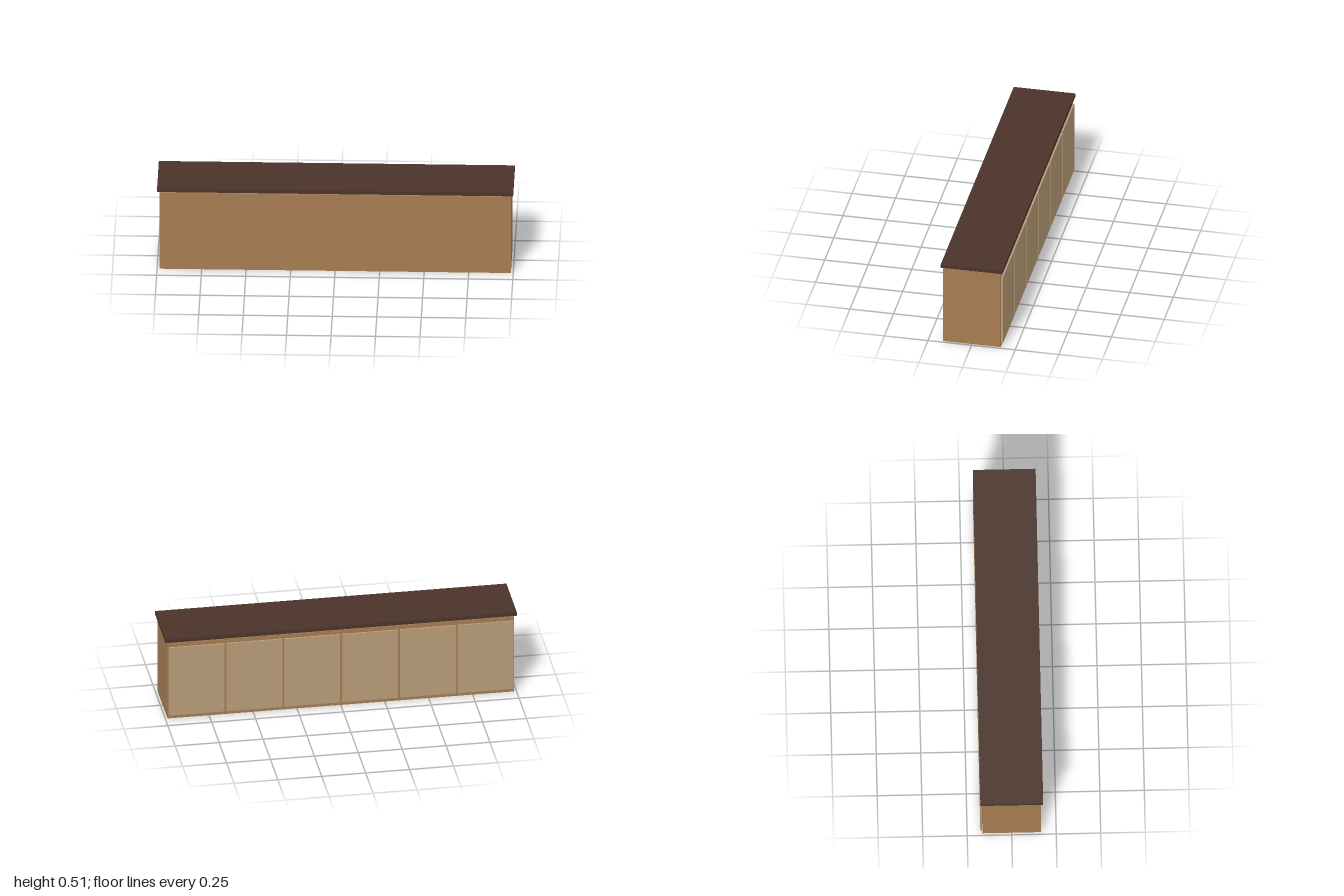
import * as THREE from 'three';

const mat = (color) => new THREE.MeshStandardMaterial({ color });

// Box given by its extents along each axis
function slab(name, [x0, x1], [y0, y1], [z0, z1], material) {
  const mesh = new THREE.Mesh(new THREE.BoxGeometry(x1 - x0, y1 - y0, z1 - z0), material);
  mesh.position.set((x0 + x1) / 2, (y0 + y1) / 2, (z0 + z1) / 2);
  mesh.name = name;
  return mesh;
}

export function createModel() {
  const group = new THREE.Group();
  group.name = 'counter';

  const halfWidth = 0.987;
  const wood = mat(0xa67c52);
  const doorWood = mat(0xb89b78);
  const darkWood = mat(0x4a332a);

  // Cabinet body
  group.add(slab('body', [-halfWidth, halfWidth], [0, 0.474], [-0.164, 0.166], wood));

  // Worktop, floating just above the body
  group.add(slab('worktop', [-1, 1], [0.484, 0.506], [-0.176, 0.177], darkWood));

  // Row of six doors along the back
  const doors = new THREE.Group();
  doors.name = 'doors';
  const count = 6;
  const pitch = (2 * halfWidth) / count;
  const doorWidth = 0.317;
  for (let i = 0; i < count; i++) {
    const x = (i - (count - 1) / 2) * pitch;
    doors.add(slab(`door${i + 1}`, [x - doorWidth / 2, x + doorWidth / 2], [0.023, 0.451], [-0.176, -0.166], doorWood));
  }
  group.add(doors);

  return group;
}
